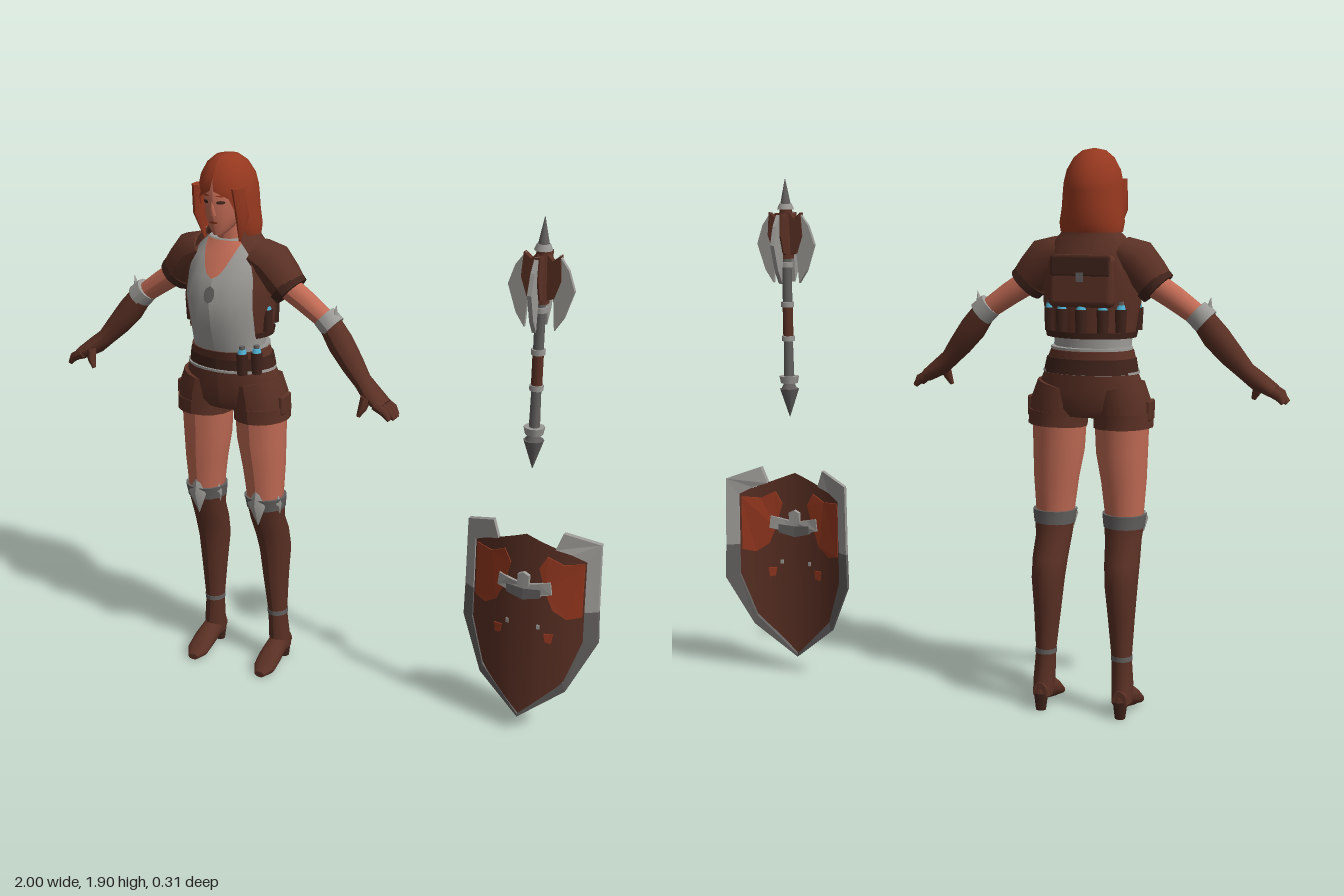
import * as THREE from 'three';
import { RoundedBoxGeometry } from 'three/addons/geometries/RoundedBoxGeometry.js';

const mat = (name, color) => new THREE.MeshStandardMaterial({ name, color, side: THREE.DoubleSide });
const leather = mat('leather', 0x5a3024), darkLeather = mat('dark leather', 0x40231b);
const red = mat('auburn red', 0x96381f), skin = mat('skin', 0xc06a54);
const silver = mat('silver', 0x9b9995), steel = mat('dark steel', 0x625f5e);
const blue = mat('potion blue', 0x4fb4d6);

const lerp = THREE.MathUtils.lerp;

function add(parent, name, geometry, material, x = 0, y = 0, z = 0) {
  const m = new THREE.Mesh(geometry, material);
  m.name = name;
  m.position.set(x, y, z);
  parent.add(m);
  return m;
}

// Skin over elliptical rings [x, y, z, radiusAcross, radiusZ, frontGapDegrees]
function loft(rings, n = 16, open = false) {
  const pos = [], idx = [];
  const ringPoints = rings.map((r, i) => {
    const a = rings[Math.max(i - 1, 0)], b = rings[Math.min(i + 1, rings.length - 1)];
    const len = Math.hypot(b[0] - a[0], b[1] - a[1]) || 1;
    const ux = (b[1] - a[1]) / len, uy = -(b[0] - a[0]) / len;
    const gap = THREE.MathUtils.degToRad(r[5] || 0);
    return Array.from({ length: n + 1 }, (_, j) => {
      const t = Math.PI / 2 + gap + (j / n) * (Math.PI * 2 - gap * 2);
      const c = Math.cos(t) * r[3];
      return [r[0] + ux * c, r[1] + uy * c, r[2] + Math.sin(t) * r[4]];
    });
  });
  ringPoints.forEach((ring) => ring.forEach((p) => pos.push(...p)));
  for (let i = 0; i < rings.length - 1; i++)
    for (let j = 0; j < n; j++) {
      const a = i * (n + 1) + j, b = a + n + 1;
      idx.push(a, b, a + 1, b, b + 1, a + 1);
    }
  if (!open)
    [0, rings.length - 1].forEach((i, end) => {
      const c = pos.length / 3;
      pos.push(...rings[i].slice(0, 3));
      ringPoints[i].forEach((p) => pos.push(...p));
      for (let j = 1; j <= n; j++) idx.push(c, end ? c + j + 1 : c + j, end ? c + j : c + j + 1);
    });
  return build(pos, idx);
}

function build(pos, idx) {
  const g = new THREE.BufferGeometry();
  g.setAttribute('position', new THREE.Float32BufferAttribute(pos, 3));
  g.setIndex(idx);
  g.computeVertexNormals();
  return g;
}

// Thin surface from a rule f(s, t) with s in -1..1 and t in 0..1
function sheet(f, ns = 8, nt = 8) {
  const pos = [], idx = [];
  for (let i = 0; i <= nt; i++) for (let j = 0; j <= ns; j++) pos.push(...f((j / ns) * 2 - 1, i / nt));
  for (let i = 0; i < nt; i++)
    for (let j = 0; j < ns; j++) {
      const a = i * (ns + 1) + j, b = a + ns + 1;
      idx.push(a, a + 1, b, a + 1, b + 1, b);
    }
  return build(pos, idx);
}

// Front z of a lofted body at x, y
function frontZ(rings, x, y) {
  const i = Math.max(0, rings.findIndex((r, k) => k < rings.length - 1 && y <= rings[k + 1][1]));
  const a = rings[i], b = rings[i + 1], t = (y - a[1]) / (b[1] - a[1]);
  const [z, rx, rz] = [2, 3, 4].map((k) => lerp(a[k], b[k], t));
  return z + rz * Math.sqrt(Math.max(0, 1 - (x / rx) ** 2));
}

// Painted ellipse or diamond lying on a lofted body
const patch = (rings, x, y, w, h) => sheet((s, t) => {
  const py = y + (t * 2 - 1) * h, px = x + s * w * Math.sqrt(Math.max(0, 1 - (t * 2 - 1) ** 2));
  return [px, py, frontZ(rings, px, py) + 0.004];
}, 4, 6);

const flat = (pts) => new THREE.Shape(pts.map((p) => new THREE.Vector2(...p)));

function addHead(g) {
  const face = [[0, 1.638, 0.075, 0.018, 0.022], [0, 1.66, 0.055, 0.04, 0.048], [0, 1.70, 0.03, 0.06, 0.08],
    [0, 1.75, 0.02, 0.068, 0.092], [0, 1.80, 0.015, 0.072, 0.092], [0, 1.86, 0.01, 0.055, 0.06]];
  add(g, 'face', loft(face, 20), skin);
  add(g, 'neck', loft([[0, 1.56, -0.01, 0.06, 0.055], [0, 1.61, 0, 0.045, 0.045], [0, 1.70, 0.015, 0.043, 0.045]]), skin);
  const nose = add(g, 'nose', new THREE.ConeGeometry(0.012, 0.05, 6), skin, 0, 1.733, 0.112);
  nose.rotation.x = 0.3;
  add(g, 'lips', patch(face, 0, 1.683, 0.016, 0.005), red);
  for (const s of [-1, 1]) {
    add(g, 'eye', patch(face, s * 0.028, 1.752, 0.013, 0.006), darkLeather);
    add(g, 'eyebrow', patch(face, s * 0.03, 1.773, 0.018, 0.003), red);
    // pointed locks framing the face
    add(g, 'sideLock', loft([[s * 0.075, 1.80, 0.075, 0.02, 0.03], [s * 0.082, 1.70, 0.06, 0.02, 0.03],
      [s * 0.068, 1.615, 0.055, 0.003, 0.004]], 6), red);
  }
  add(g, 'hair', loft([[0, 1.90, 0.01, 0.004, 0.004], [0, 1.893, 0.01, 0.038, 0.045], [0, 1.87, 0.008, 0.066, 0.077],
    [0, 1.83, 0.006, 0.088, 0.102], [0, 1.79, 0.005, 0.097, 0.112, 4], [0, 1.765, 0.004, 0.099, 0.112, 33],
    [0, 1.71, 0, 0.102, 0.107, 44], [0, 1.66, -0.008, 0.108, 0.096, 50], [0, 1.63, -0.012, 0.104, 0.08, 55]], 28, true), red);
}

function addTorso(g) {
  const torso = [[0, 1.16, 0, 0.145, 0.1], [0, 1.25, 0.02, 0.13, 0.105], [0, 1.33, 0.02, 0.136, 0.125],
    [0, 1.42, 0.025, 0.145, 0.13], [0, 1.50, 0.01, 0.145, 0.115], [0, 1.56, 0, 0.138, 0.088], [0, 1.615, -0.01, 0.08, 0.06]];
  add(g, 'shirt', loft(torso, 24), silver);
  add(g, 'neckline', sheet((s, t) => {
    const y = lerp(1.495, 1.612, t), x = s * 0.068 * Math.sqrt(t);
    return [x, y, frontZ(torso, x, y) + 0.005];
  }), skin);
  add(g, 'chestPatch', patch(torso, 0, 1.445, 0.02, 0.028), steel);
  add(g, 'jacket', loft([[0, 1.29, 0, 0.148, 0.115, 58], [0, 1.40, 0.005, 0.165, 0.13, 52], [0, 1.50, -0.005, 0.166, 0.122, 50],
    [0, 1.57, -0.01, 0.155, 0.1, 45], [0, 1.612, -0.01, 0.115, 0.08, 38], [0, 1.645, -0.018, 0.085, 0.072, 48]], 24, true), leather);
  add(g, 'jacketHem', loft([[0, 1.285, 0, 0.152, 0.119, 58], [0, 1.305, 0, 0.156, 0.121, 57]], 24, true), darkLeather);
  // belts and shorts
  add(g, 'belt', loft([[0, 1.165, 0, 0.162, 0.114], [0, 1.215, 0.004, 0.152, 0.114]], 24), darkLeather);
  add(g, 'upperBelt', loft([[0, 1.21, 0.006, 0.15, 0.112], [0, 1.24, 0.012, 0.14, 0.115]], 24), leather);
  for (const [y, r] of [[1.164, 0.165], [1.243, 0.139]])
    add(g, 'beltTrim', loft([[0, y, 0.005, r, 0.116], [0, y + 0.008, 0.005, r - 0.001, 0.116]], 24), silver);
  add(g, 'shorts', loft([[0, 1.02, 0, 0.13, 0.085], [0, 1.05, 0, 0.19, 0.103], [0, 1.11, 0, 0.185, 0.108], [0, 1.17, 0, 0.158, 0.108]], 24), leather);
  // backpack
  add(g, 'backpack', new RoundedBoxGeometry(0.22, 0.17, 0.06, 3, 0.022), leather, 0, 1.475, -0.12);
  add(g, 'backpackFlap', new RoundedBoxGeometry(0.2, 0.07, 0.02, 2, 0.009), darkLeather, 0, 1.525, -0.142);
  add(g, 'backpackBuckle', new THREE.BoxGeometry(0.025, 0.03, 0.008), steel, 0, 1.49, -0.15);
  // flasks in holsters round the back and one cluster on the front belt
  const flask = (x, y, z) => {
    add(g, 'flaskHolster', new THREE.CylinderGeometry(0.021, 0.018, 0.075, 8), darkLeather, x, y, z);
    add(g, 'flaskLiquid', new THREE.CylinderGeometry(0.013, 0.017, 0.016, 8), blue, x, y + 0.044, z);
    add(g, 'flaskCap', new THREE.CylinderGeometry(0.01, 0.01, 0.012, 8), steel, x, y + 0.057, z);
  };
  for (const a of [-100, -52, -27, 0, 27, 52, 100]) {
    const t = THREE.MathUtils.degToRad(a);
    flask(Math.sin(t) * 0.152, 1.345, -Math.cos(t) * 0.128);
  }
  for (const [x, z] of [[0.1, 0.108], [0.138, 0.075]]) flask(x, 1.205, z);
}

function addArm(g, s) {
  const limb = (name, rings, m, n = 14) => add(g, name, loft(rings.map(([x, ...r]) => [x * s, ...r]), n), m);
  limb('sleeve', [[0.1, 1.565, -0.01, 0.055, 0.075], [0.15, 1.54, -0.01, 0.073, 0.078], [0.19, 1.495, -0.01, 0.067, 0.072], [0.226, 1.452, -0.01, 0.06, 0.062]], leather);
  limb('sleeveCuff', [[0.208, 1.468, -0.01, 0.066, 0.068], [0.228, 1.448, -0.01, 0.064, 0.066]], darkLeather);
  limb('arm', [[0.2, 1.47, -0.01, 0.043, 0.04], [0.28, 1.42, -0.01, 0.04, 0.036], [0.38, 1.35, -0.01, 0.034, 0.03]], skin);
  limb('gauntletCuff', [[0.352, 1.378, -0.01, 0.043, 0.042], [0.388, 1.345, -0.008, 0.046, 0.044]], silver);
  const spike = add(g, 'gauntletSpike', new THREE.ConeGeometry(0.024, 0.08, 4), silver, s * 0.395, 1.385, -0.005);
  spike.rotation.z = -s * 0.15;
  limb('glove', [[0.375, 1.355, -0.008, 0.04, 0.04], [0.42, 1.295, 0, 0.046, 0.044], [0.47, 1.235, 0.012, 0.04, 0.04],
    [0.515, 1.185, 0.025, 0.031, 0.033], [0.55, 1.155, 0.037, 0.032, 0.043], [0.605, 1.12, 0.048, 0.023, 0.045]], leather);
  for (let i = 0; i < 4; i++) {
    const z = 0.017 + i * 0.021, tip = i % 3 ? 0.65 : 0.64;
    limb('finger', [[0.585, 1.13, z, 0.018, 0.013], [0.625, 1.108, z, 0.016, 0.012], [tip, 1.085, z, 0.008, 0.008]], leather, 8);
  }
  limb('thumb', [[0.55, 1.15, 0.07, 0.02, 0.016], [0.543, 1.115, 0.082, 0.016, 0.014], [0.53, 1.085, 0.088, 0.007, 0.007]], leather, 8);
}

function addLeg(g, s) {
  const limb = (name, rings, m, n = 16) => add(g, name, loft(rings.map(([x, ...r]) => [x * s, ...r]), n), m);
  limb('shortsLeg', [[0.095, 1.12, 0, 0.088, 0.1], [0.108, 1.06, 0, 0.098, 0.105], [0.112, 0.985, 0, 0.098, 0.1]], leather);
  limb('shortsCuff', [[0.113, 1.035, 0, 0.099, 0.105], [0.114, 0.985, 0, 0.1, 0.104]], leather);
  add(g, 'sidePocket', new RoundedBoxGeometry(0.02, 0.07, 0.07, 2, 0.008), leather, s * 0.203, 1.045, 0);
  limb('thigh', [[0.108, 1.03, 0, 0.093, 0.092], [0.11, 0.9, 0, 0.088, 0.085], [0.118, 0.8, 0, 0.077, 0.077], [0.122, 0.66, 0, 0.063, 0.064]], skin);
  limb('boot', [[0.122, 0.675, 0, 0.071, 0.07], [0.122, 0.6, -0.012, 0.062, 0.062], [0.126, 0.53, -0.04, 0.06, 0.065], [0.128, 0.46, -0.057, 0.056, 0.064],
    [0.13, 0.35, -0.056, 0.046, 0.052], [0.134, 0.2, -0.058, 0.034, 0.037], [0.138, 0.11, -0.06, 0.037, 0.044], [0.14, 0.05, -0.07, 0.034, 0.046]], leather);
  limb('bootTrim', [[0.122, 0.69, 0, 0.076, 0.075], [0.122, 0.645, -0.004, 0.07, 0.07]], steel);
  // pointed knee guard
  for (const [x, z, top, low] of [[0.122, 0.066, 0.73, 0.59], [0.185, 0.02, 0.7, 0.63], [0.06, 0.02, 0.7, 0.63]])
    limb('kneeGuard', [[x, top, z, 0.002, 0.002], [x, (top + low) / 2 + 0.01, z, x === 0.122 ? 0.036 : 0.014, 0.016], [x, low, z - 0.01, 0.002, 0.002]], silver, 4);
  limb('ankleStrap', [[0.134, 0.212, -0.058, 0.037, 0.04], [0.134, 0.196, -0.058, 0.037, 0.04]], steel);
  // foot rings run from heel to toe, then are laid forward
  const foot = [[0.14, -0.11, -0.068, 0.024, 0.03], [0.14, -0.05, -0.07, 0.036, 0.045], [0.142, 0.02, -0.045, 0.043, 0.036],
    [0.143, 0.065, -0.023, 0.042, 0.022], [0.142, 0.1, -0.011, 0.02, 0.011]];
  add(g, 'foot', loft(foot.map(([x, ...r]) => [x * s, ...r]), 14).rotateX(Math.PI / 2), leather);
  add(g, 'heel', new THREE.CylinderGeometry(0.026, 0.018, 0.06, 8), darkLeather, s * 0.14, 0.03, -0.095);
}

function makeMace() {
  const g = new THREE.Group();
  g.name = 'mace';
  g.position.set(0.748, 0, -0.045);
  const rod = (name, r1, r0, y0, y1, m) => add(g, name, new THREE.CylinderGeometry(r1, r0, y1 - y0, 10), m, 0, (y0 + y1) / 2, 0);
  rod('pommelPoint', 0.034, 0.001, 0.96, 1.06, steel);
  rod('pommelNeck', 0.018, 0.028, 1.06, 1.08, steel);
  rod('pommelCollar', 0.035, 0.03, 1.08, 1.105, silver);
  rod('lowerShaft', 0.016, 0.018, 1.105, 1.23, steel);
  rod('grip', 0.018, 0.018, 1.23, 1.35, leather);
  rod('upperShaft', 0.017, 0.017, 1.35, 1.52, steel);
  for (const y of [1.23, 1.35, 1.49]) rod('shaftRing', 0.023, 0.023, y, y + 0.018, silver);
  rod('headCore', 0.022, 0.026, 1.52, 1.69, leather);
  rod('topCollar', 0.022, 0.03, 1.69, 1.71, silver);
  rod('topSpike', 0.001, 0.018, 1.71, 1.795, steel);
  // four winged blades
  const wing = flat([[0.01, 1.53], [0.045, 1.54], [0.066, 1.6], [0.06, 1.68], [0.035, 1.66], [0.01, 1.69]]);
  const blade = flat([[0.05, 1.435], [0.08, 1.48], [0.11, 1.57], [0.088, 1.635], [0.055, 1.68], [0.063, 1.6], [0.042, 1.54]]);
  for (let i = 0; i < 4; i++)
    for (const [name, shape, d, m] of [['wing', wing, 0.024, leather], ['blade', blade, 0.014, silver]]) {
      const geo = new THREE.ExtrudeGeometry(shape, { depth: d, bevelEnabled: false }).translate(0, 0, -d / 2);
      add(g, name, geo, m).rotation.y = (i * Math.PI) / 2;
    }
  return g;
}

function makeShield() {
  const g = new THREE.Group();
  g.name = 'shield';
  g.position.x = 0.757;
  const bend = (x) => -1.4 * x * x;
  const outline = [[0.065, 0.002], [0.21, 0.145], [0.37, 0.2], [0.67, 0.197]];
  const halfWidth = (y) => {
    const i = Math.max(0, outline.findIndex((p, k) => k < 3 && y <= outline[k + 1][0] + 1e-6));
    return lerp(outline[i][1], outline[i + 1][1], (y - outline[i][0]) / (outline[i + 1][0] - outline[i][0]));
  };
  add(g, 'shieldBody', sheet((s, t) => {
    const y = lerp(0.065, 0.67, t), x = s * halfWidth(y);
    return [x, y + 0.075 * (1 - Math.abs(s)) * t ** 3, bend(x)];
  }, 16, 20), leather);
  const bent = (pts, depth, z) => {
    const geo = new THREE.ExtrudeGeometry(flat(pts), { depth, bevelEnabled: false });
    const p = geo.attributes.position;
    for (let i = 0; i < p.count; i++) p.setZ(i, p.getZ(i) + z + bend(p.getX(i)));
    geo.computeVertexNormals();
    return geo;
  };
  for (const s of [-1, 1]) {
    const mirror = (pts) => pts.map(([x, y]) => [x * s, y]);
    const plate = (name, m, pts, depth = 0.018) => add(g, name, bent(mirror(pts), depth, -depth / 2), m);
    plate('upperRim', silver, [[0.198, 0.48], [0.238, 0.48], [0.234, 0.725], [0.122, 0.765], [0.1, 0.705], [0.15, 0.69], [0.197, 0.665]]);
    plate('lowerRim', steel, [[0.198, 0.48], [0.199, 0.37], [0.145, 0.21], [0, 0.068], [0, 0.058], [0.155, 0.18], [0.242, 0.36], [0.238, 0.48]]);
    // painted panels and fittings show on both faces
    plate('redPanel', red, [[0.05, 0.63], [0.075, 0.675], [0.125, 0.65], [0.19, 0.655], [0.19, 0.46], [0.145, 0.45], [0.1, 0.48], [0.075, 0.54]], 0.009);
    plate('redSpot', red, [[0.075, 0.39], [0.105, 0.39], [0.1, 0.355], [0.08, 0.36]], 0.008);
    plate('rivet', silver, [[0.05, 0.42], [0.06, 0.42], [0.06, 0.405], [0.05, 0.405]], 0.009);
    plate('emblemWing', silver, [[0, 0.565], [0.05, 0.575], [0.09, 0.585], [0.095, 0.54], [0.05, 0.53], [0, 0.525]], 0.022);
    plate('emblemBar', steel, [[0, 0.55], [0.06, 0.555], [0.06, 0.525], [0, 0.51]], 0.028);
    plate('emblemCrest', silver, [[0, 0.61], [0.02, 0.6], [0.02, 0.56], [0, 0.555]], 0.03);
  }
  return g;
}

export function createModel() {
  const model = new THREE.Group();
  const figure = new THREE.Group();
  figure.name = 'figure';
  figure.position.x = -0.35;
  addHead(figure);
  addTorso(figure);
  for (const s of [-1, 1]) {
    addArm(figure, s);
    addLeg(figure, s);
  }
  model.add(figure, makeMace(), makeShield());
  return model;
}
